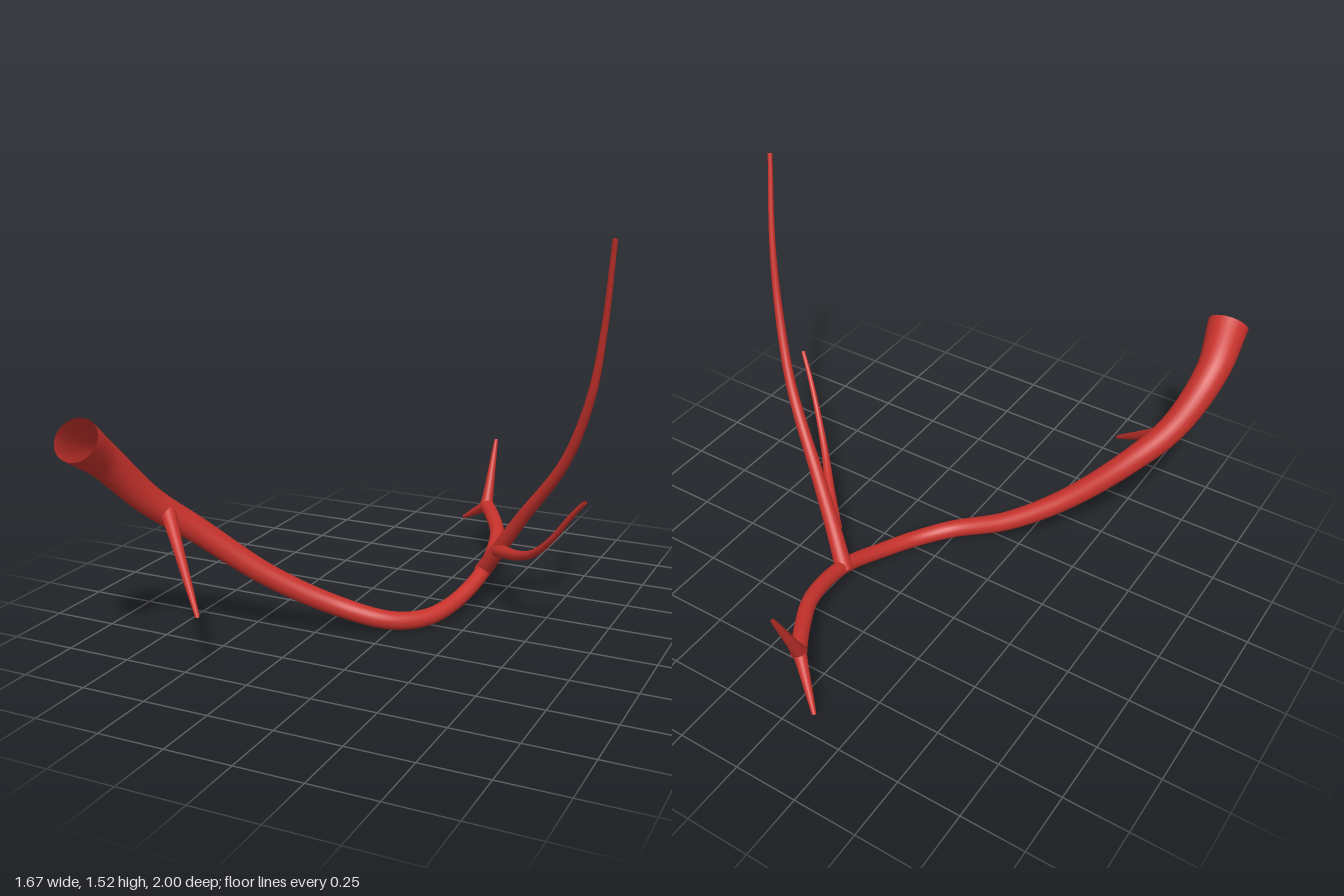
import * as THREE from 'three';

const vesselRed = new THREE.MeshStandardMaterial({ color: 0xc8322c, side: THREE.DoubleSide });
vesselRed.name = 'vessel red';

// Open tapered tube through stations [x, y, z, radius]
function vessel(name, stations, segments, sides = 24) {
  const curve = new THREE.CatmullRomCurve3(stations.map(([x, y, z]) => new THREE.Vector3(x, y, z)), false, 'centripetal');
  const geometry = new THREE.TubeGeometry(curve, segments, 1, sides, false);
  const position = geometry.attributes.position;
  const vertex = new THREE.Vector3();
  const last = stations.length - 1;
  for (let i = 0; i <= segments; i++) {
    const u = i / segments;
    const centre = curve.getPointAt(u);
    const t = curve.getUtoTmapping(u) * last;
    const k = Math.min(Math.floor(t), last - 1);
    const radius = THREE.MathUtils.lerp(stations[k][3], stations[k + 1][3], t - k);
    for (let j = 0; j <= sides; j++) {
      const n = i * (sides + 1) + j;
      vertex.fromBufferAttribute(position, n).sub(centre).multiplyScalar(radius).add(centre);
      position.setXYZ(n, vertex.x, vertex.y, vertex.z);
    }
  }
  const mesh = new THREE.Mesh(geometry, vesselRed);
  mesh.name = name;
  return mesh;
}

export function createModel() {
  const group = new THREE.Group();
  group.name = 'branchingVessel';

  // Main vessel, from the wide open mouth to the far fork
  group.add(vessel('trunk', [
    [-0.75, 0.87, 0.955, 0.08],
    [-0.77, 0.755, 0.79, 0.064],
    [-0.71, 0.57, 0.62, 0.054],
    [-0.6, 0.435, 0.49, 0.048],
    [-0.4, 0.245, 0.345, 0.042],
    [-0.2, 0.12, 0.225, 0.038],
    [0, 0.05, 0.13, 0.035],
    [0.1, 0.034, 0.02, 0.033],
    [0.16, 0.053, -0.12, 0.031],
    [0.2, 0.12, -0.35, 0.03],
    [0.16, 0.18, -0.6, 0.03],
    [0.08, 0.203, -0.76, 0.03],
    [0.01, 0.215, -0.87, 0.03],
  ], 120));

  // Long rising branch
  group.add(vessel('tallBranch', [
    [0.19, 0.11, -0.355, 0.034],
    [0.29, 0.25, -0.29, 0.03],
    [0.4, 0.405, -0.225, 0.026],
    [0.6, 0.68, -0.105, 0.02],
    [0.715, 0.95, -0.01, 0.016],
    [0.77, 1.2, 0.05, 0.012],
    [0.82, 1.52, 0.137, 0.009],
  ], 60));

  // Smaller branch that leaves the tall one
  group.add(vessel('sideBranch', [
    [0.28, 0.235, -0.285, 0.027],
    [0.4, 0.275, -0.155, 0.02],
    [0.5, 0.33, -0.045, 0.015],
    [0.6, 0.425, 0.05, 0.012],
    [0.7, 0.555, 0.13, 0.01],
    [0.76, 0.627, 0.172, 0.008],
  ], 40));

  // Short straight tapering spurs
  const spurs = [
    ['mouthSpur', [-0.66, 0.53, 0.585, 0.031], [-0.398, 0.252, 0.812, 0.008]],
    ['upperForkSpur', [0.012, 0.215, -0.862, 0.03], [0.005, 0.485, -0.988, 0.008]],
    ['lowerForkSpur', [0.02, 0.22, -0.855, 0.03], [-0.142, 0.105, -0.988, 0.008]],
  ];
  for (const [name, base, tip] of spurs) group.add(vessel(name, [base, tip], 8));

  return group;
}
